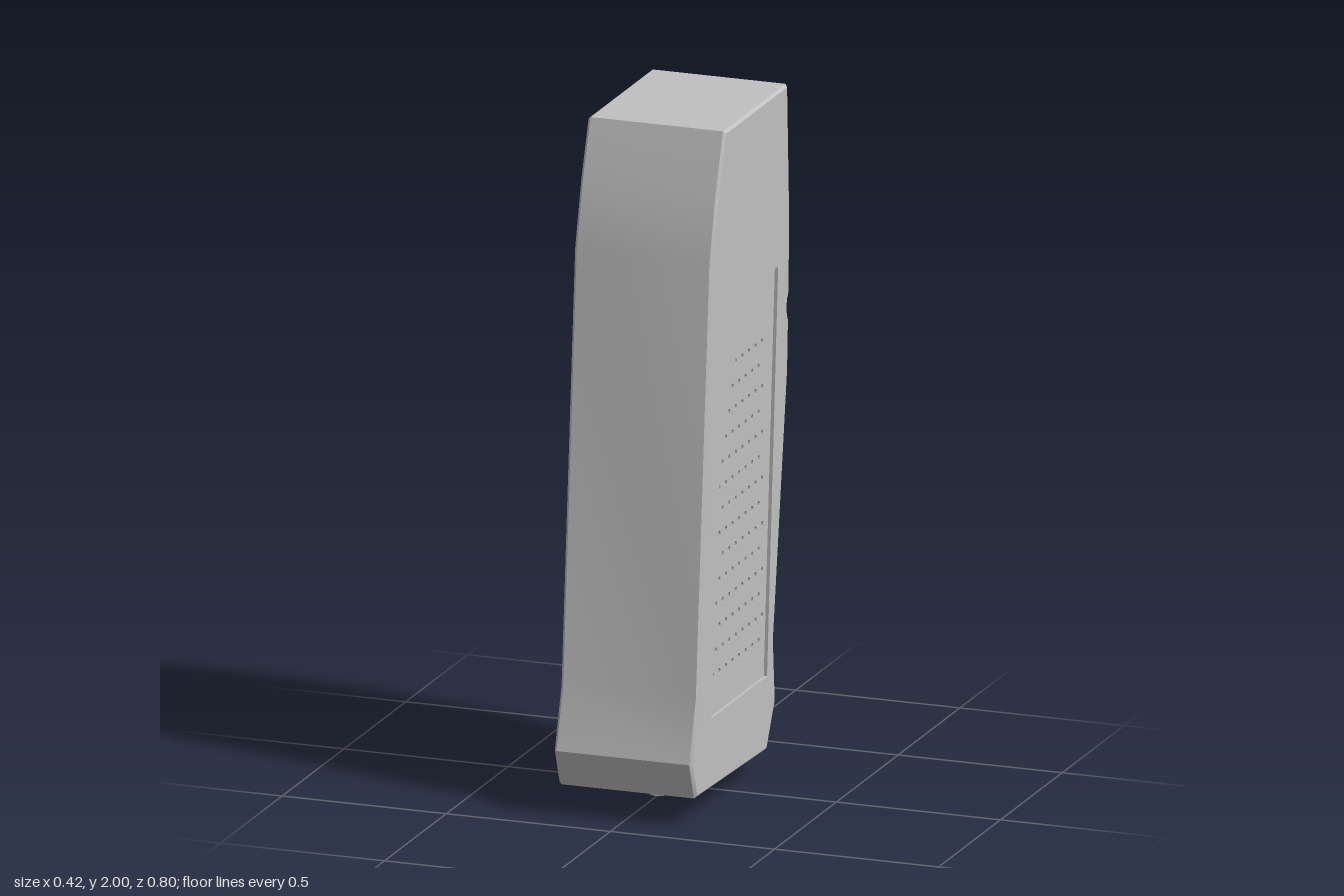
import * as THREE from 'three';
import { mergeGeometries, toCreasedNormals } from 'three/addons/utils/BufferGeometryUtils.js';

const HALF = 0.21, CHAMFER = 0.008, FLOOR = 0.2, PIT = 0.175;

// Outlines are listed as [z, y] and drawn in a plane with u = -z, v = y.
const outline = (pts) => pts.map(([z, y]) => new THREE.Vector2(-z, y));

const profile = outline([
  [0.36, 0.08], [-0.21, 0.065], [-0.28, 0.195], [-0.265, 0.38], [-0.38, 1.15],
  [-0.387, 1.3], [-0.378, 1.32], [-0.374, 1.34], [-0.38, 1.36], [-0.391, 1.38],
  [-0.397, 1.6], [-0.38, 2], [0.125, 2], [0.185, 1.83], [0.235, 1.64],
  [0.345, 0.37], [0.4, 0.19],
]);
const panel = outline([[0.24, 0.285], [-0.21, 0.285], [-0.3, 1.48], [-0.055, 1.48], [0.165, 1.08]]);

// Move every edge of a counter-clockwise outline inward by d
function inset(pts, d) {
  return pts.map((p, i) => {
    const a = pts[(i + pts.length - 1) % pts.length], b = pts[(i + 1) % pts.length];
    const e = p.clone().sub(a).normalize(), f = b.clone().sub(p).normalize();
    const n = new THREE.Vector2(-e.y - f.y, e.x + f.x);
    return p.clone().addScaledVector(n, d / (1 + e.dot(f)));
  });
}

// Wall between successive rings [points, w]
function loft(rings) {
  const pos = [];
  for (let r = 0; r < rings.length - 1; r++) {
    const [p, w0] = rings[r], [q, w1] = rings[r + 1];
    p.forEach((_, i) => {
      const j = (i + 1) % p.length;
      const a = [p[i].x, p[i].y, w0], b = [p[j].x, p[j].y, w0];
      const c = [q[j].x, q[j].y, w1], d = [q[i].x, q[i].y, w1];
      pos.push(...a, ...b, ...c, ...a, ...c, ...d);
    });
  }
  const g = new THREE.BufferGeometry();
  g.setAttribute('position', new THREE.Float32BufferAttribute(pos, 3));
  g.computeVertexNormals();
  return g;
}

// Flat face at depth w, with optional holes
function face(pts, w, holes = []) {
  const s = new THREE.Shape(pts);
  s.holes = holes.map((h) => new THREE.Path(h));
  const g = new THREE.ShapeGeometry(s).toNonIndexed();
  g.deleteAttribute('uv');
  return g.translate(0, 0, w);
}

// Mirror across the middle, keeping faces outward
function mirrored(geo) {
  const g = geo.clone().scale(-1, 1, 1), p = g.attributes.position;
  for (let i = 0; i < p.count; i += 3) {
    const b = new THREE.Vector3().fromBufferAttribute(p, i + 1);
    const c = new THREE.Vector3().fromBufferAttribute(p, i + 2);
    p.setXYZ(i + 1, c.x, c.y, c.z);
    p.setXYZ(i + 2, b.x, b.y, b.z);
  }
  g.computeVertexNormals();
  return g;
}

// Staggered grid of small round dimples inside the panel
function dimples() {
  const list = [];
  for (let row = 0; row < 14; row++) {
    const y = 1.285 - row * 0.068;
    const edge = y > 1.08 ? 0.165 - (y - 1.08) * 0.55 : 0.165 + (1.08 - y) * 0.0943;
    for (let z = row % 2 ? -0.168 : -0.195; z < edge + 0.002; z += 0.053) {
      const zc = Math.min(z, edge - 0.014);
      list.push(Array.from({ length: 12 }, (_, k) => {
        const t = (k / 12) * Math.PI * 2;
        return new THREE.Vector2(-zc + 0.009 * Math.cos(t), y + 0.009 * Math.sin(t));
      }));
    }
  }
  return list;
}

export function createModel() {
  const group = new THREE.Group();
  const grey = new THREE.MeshStandardMaterial({ color: 0xc0c0c0 });
  grey.name = 'light grey';
  const add = (name, geo) => {
    const m = new THREE.Mesh(geo, grey);
    m.name = name;
    group.add(m);
  };

  // Outer wall with chamfered side edges
  const inner = inset(profile, CHAMFER);
  const wall = loft([
    [inner, -HALF], [profile, -HALF + CHAMFER], [profile, HALF - CHAMFER], [inner, HALF],
  ]).rotateY(Math.PI / 2);
  add('gripShell', toCreasedNormals(wall, 0.55));

  // Side faces with the panel opening
  const side = face(inner, HALF, [panel]).rotateY(Math.PI / 2);
  add('leftSide', side);
  add('rightSide', mirrored(side));

  // Recessed panels pitted with dimples
  const dots = dimples();
  const recess = mergeGeometries([
    loft([[panel, HALF], [panel, FLOOR]]),
    face(panel, FLOOR, dots),
    ...dots.flatMap((d) => [loft([[d, FLOOR], [d, PIT]]), face(d, PIT)]),
  ]).rotateY(Math.PI / 2);
  add('leftPanel', recess);
  add('rightPanel', mirrored(recess));

  // Half-round lug under the base
  const lug = new THREE.CylinderGeometry(0.068, 0.068, 0.03, 32, 1, false, -Math.PI / 2, Math.PI);
  add('baseLug', lug.rotateX(Math.PI / 2).translate(0, 0.068, 0.11));
  // Short root joining the lug to the base
  add('lugRoot', new THREE.BoxGeometry(0.136, 0.015, 0.03).translate(0, 0.0755, 0.11));

  return group;
}
